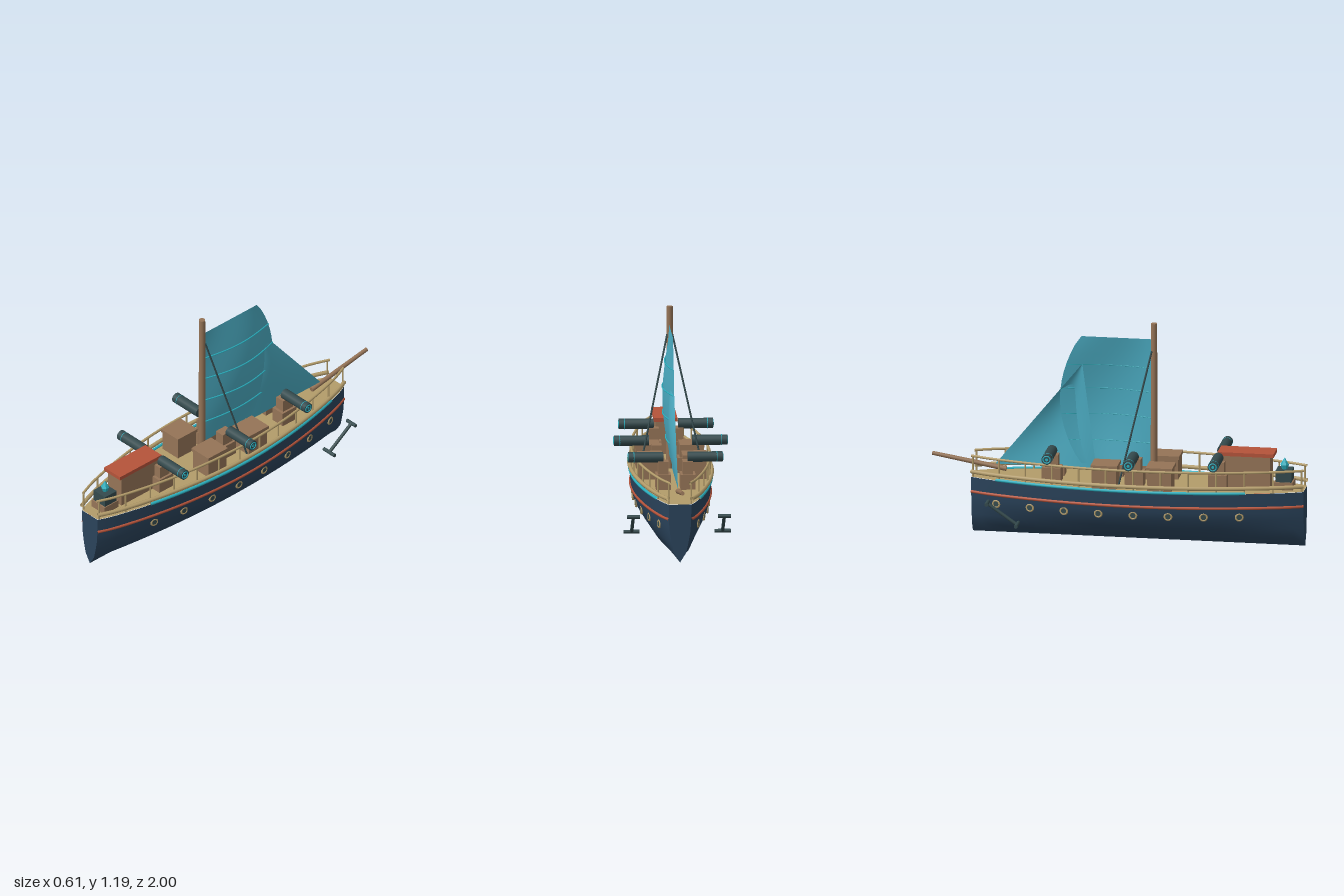
import * as THREE from 'three';
import { toCreasedNormals } from 'three/addons/utils/BufferGeometryUtils.js';

const mat = (name, color, side = THREE.FrontSide) => {
  const m = new THREE.MeshStandardMaterial({ color, side });
  m.name = name;
  return m;
};
const V = (x, y, z) => new THREE.Vector3(x, y, z);
const BOW = -0.78, STERN = 1.0, LEN = STERN - BOW, BEAM = 0.213;

// Half width of the hull at deck level
const halfWidth = z => {
  const s = Math.max(0, Math.sin(Math.PI * (z - BOW) / LEN));
  return 0.06 + (BEAM - 0.06) * Math.pow(s, 0.8);
};

// Half cross-section amidships, sheer to keel
const SECTION = [[0.213, 0.315], [0.21, 0.26], [0.204, 0.205], [0.192, 0.165], [0.157, 0.11], [0.117, 0.056], [0, 0.003]];

function hullGeometry() {
  const ring = [...SECTION, ...SECTION.slice(0, -1).reverse().map(([x, y]) => [-x, y])];
  const n = ring.length, stations = 32, pos = [], idx = [];
  for (let j = 0; j <= stations; j++) {
    const z = BOW + LEN * j / stations, s = halfWidth(z) / BEAM;
    for (const [x, y] of ring) pos.push(x * s, y, z);
  }
  for (let j = 0; j < stations; j++) for (let i = 0; i < n - 1; i++) {
    const a = j * n + i, b = a + 1, c = a + n, d = c + 1;
    idx.push(a, c, b, c, d, b);
  }
  const e = stations * n;
  for (let i = 1; i < n - 1; i++) idx.push(0, i, i + 1, e, e + i + 1, e + i);
  const g = new THREE.BufferGeometry();
  g.setAttribute('position', new THREE.Float32BufferAttribute(pos, 3));
  g.setIndex(idx);
  return toCreasedNormals(g, 0.7);
}

// Open surface from a rule (u, v) -> point
function sheet(rule, n = 14) {
  const g = new THREE.PlaneGeometry(1, 1, n, n), p = g.attributes.position, uv = g.attributes.uv;
  for (let i = 0; i < p.count; i++) p.setXYZ(i, ...rule(uv.getX(i), uv.getY(i)).toArray());
  g.computeVertexNormals();
  return g;
}

export function createModel() {
  const ship = new THREE.Group();
  ship.name = 'sailingShip';
  const navy = mat('navyHull', 0x2a435b), tan = mat('tanTimber', 0xb39c6a, THREE.DoubleSide);
  const brown = mat('brownWood', 0x957457), red = mat('redPaint', 0xb5533a);
  const slate = mat('darkIron', 0x344a4d), cyan = mat('cyanTrim', 0x2bb0c0);
  const cloth = mat('sailCloth', 0x4aa9bf, THREE.DoubleSide);

  const add = (name, geo, m, x = 0, y = 0, z = 0) => {
    const mesh = new THREE.Mesh(geo, m);
    mesh.name = name;
    mesh.position.set(x, y, z);
    ship.add(mesh);
    return mesh;
  };
  const box = (name, m, w, h, d, x, y, z) => add(name, new THREE.BoxGeometry(w, h, d), m, x, y, z);
  const rod = (name, m, a, b, r, r2 = r, sides = 12) => {
    const dir = b.clone().sub(a), mid = a.clone().add(b).multiplyScalar(0.5);
    const mesh = add(name, new THREE.CylinderGeometry(r2, r, dir.length(), sides), m, mid.x, mid.y, mid.z);
    mesh.quaternion.setFromUnitVectors(V(0, 1, 0), dir.normalize());
    return mesh;
  };
  // Tube following the side of the hull
  const sideTube = (name, m, side, y, r, xOf, z0 = BOW, z1 = STERN) => {
    const pts = [];
    for (let i = 0; i <= 20; i++) {
      const z = z0 + (z1 - z0) * i / 20;
      pts.push(V(side * xOf(z), y, z));
    }
    add(name, new THREE.TubeGeometry(new THREE.CatmullRomCurve3(pts), 48, r, 8), m);
  };

  // Hull and deck
  add('hull', hullGeometry(), navy);
  const outline = new THREE.Shape();
  const edge = [];
  for (let i = 0; i <= 32; i++) edge.push(BOW + LEN * i / 32);
  outline.setFromPoints([
    ...edge.map(z => new THREE.Vector2(halfWidth(z), -z)),
    ...edge.reverse().map(z => new THREE.Vector2(-halfWidth(z), -z)),
  ]);
  add('deck', new THREE.ShapeGeometry(outline), tan, 0, 0.317, 0).rotation.x = -Math.PI / 2;

  for (const s of [1, -1]) {
    // Trim and railings
    sideTube('redStripe', red, s, 0.235, 0.008, z => halfWidth(z) * 0.975);
    sideTube('cyanStrip', cyan, s, 0.318, 0.008, halfWidth, -0.64, 0.7);
    sideTube('lowerRail', tan, s, 0.346, 0.011, z => halfWidth(z) + 0.002);
    sideTube('upperRail', tan, s, 0.43, 0.007, z => halfWidth(z) - 0.008);
    for (let i = 0; i <= 12; i++) {
      const z = BOW + 0.01 + (LEN - 0.02) * i / 12, x = s * (halfWidth(z) - 0.006);
      rod('railPost', tan, V(x, 0.317, z), V(x, 0.43, z), 0.005, 0.005, 6);
    }

    // Portholes
    for (let i = 0; i < 8; i++) {
      const z = 0.67 - 0.187 * i, x = s * halfWidth(z) * 0.935;
      const slope = (halfWidth(z + 0.01) - halfWidth(z - 0.01)) / 0.02;
      const turn = Math.atan2(s, -slope);
      add('portholeRing', new THREE.TorusGeometry(0.018, 0.006, 6, 16), tan, x, 0.185, z).rotation.y = turn;
      const glass = add('portholeGlass', new THREE.CylinderGeometry(0.017, 0.017, 0.008, 16).rotateX(Math.PI / 2), slate, x, 0.185, z);
      glass.rotation.y = turn;
    }

    // Deck hatches with lids
    for (const z of [-0.05, 0.245]) {
      box('hatch', brown, 0.12, 0.11, 0.13, s * 0.118, 0.372, z);
      box('hatchLid', brown, 0.132, 0.018, 0.142, s * 0.118, 0.436, z);
    }

    // Cannons on their carriages
    for (const [z, muzzle, cx] of [[-0.345, 0.25, 0.065], [0.1, 0.3, 0.075], [0.545, 0.25, 0.065]]) {
      box('carriageBase', brown, 0.08, 0.08, 0.1, s * cx, 0.357, z);
      box('carriageTop', brown, 0.055, 0.07, 0.07, s * cx, 0.43, z);
      rod('cannonBarrel', slate, V(s * (muzzle - 0.185), 0.485, z), V(s * muzzle, 0.485, z), 0.028, 0.028, 16);
      for (const [x, r] of [[muzzle, 0.019], [muzzle - 0.03, 0.0255]])
        add('cannonRing', new THREE.TorusGeometry(r, 0.0035, 6, 18), cyan, s * x, 0.485, z).rotation.y = Math.PI / 2;
      rod('cannonCore', cyan, V(s * muzzle, 0.485, z), V(s * (muzzle + 0.002), 0.485, z), 0.008);
    }

    // Anchors
    rod('anchorStem', slate, V(s * 0.241, 0.228, -0.665), V(s * 0.241, 0.117, -0.505), 0.009);
    rod('anchorStock', slate, V(s * 0.207, 0.228, -0.665), V(s * 0.275, 0.228, -0.665), 0.01);
    rod('anchorArms', slate, V(s * 0.199, 0.117, -0.505), V(s * 0.284, 0.117, -0.505), 0.01);

    // Shrouds
    rod('shroud', slate, V(s * 0.014, 1.04, 0.18), V(s * 0.17, 0.33, 0.025), 0.005, 0.005, 8);
  }

  // Mast and bowsprit
  rod('mast', brown, V(0, 0.317, 0.19), V(0, 1.19, 0.19), 0.018, 0.017, 16);
  rod('bowsprit', brown, V(0, 0.352, -0.6), V(0, 0.42, -0.998), 0.014, 0.011);

  // Main sail with battens, and fore sail
  const main = (u, v) => {
    const bow = Math.sin(Math.PI * v);
    const leech = -0.2 - 0.115 * Math.pow(Math.max(0, bow), 0.8);
    return V(0.005 + 0.047 * Math.sin(Math.PI * u) * Math.max(0, bow), 0.4 + 0.7 * v, 0.178 + (leech - 0.178) * u);
  };
  add('mainSail', sheet(main), cloth);
  for (const v of [0.18, 0.38, 0.58, 0.77]) {
    const pts = [];
    for (let i = 0; i <= 8; i++) pts.push(main(i / 8, v).add(V(0.003, 0, 0)));
    add('sailBatten', new THREE.TubeGeometry(new THREE.CatmullRomCurve3(pts), 20, 0.004, 6), cyan);
  }
  add('foreSail', sheet((u, v) => {
    const foot = -0.12 - 0.54 * u;
    return V(0.004 + 0.03 * Math.sin(Math.PI * u) * Math.sin(Math.PI * v), 0.375 + 0.573 * v, foot + (-0.195 - foot) * v);
  }), cloth);

  // Cabin
  box('cabin', brown, 0.104, 0.18, 0.26, 0, 0.407, 0.69);
  box('cabinRoof', red, 0.124, 0.02, 0.3, 0, 0.505, 0.69);

  // Stern lantern
  box('lanternPlinth', brown, 0.1, 0.042, 0.1, 0, 0.338, 0.89);
  box('lanternBase', slate, 0.09, 0.062, 0.085, 0, 0.39, 0.89);
  add('lanternCrystal', new THREE.LatheGeometry([
    new THREE.Vector2(0.012, 0), new THREE.Vector2(0.023, 0.03), new THREE.Vector2(0, 0.07),
  ], 6).toNonIndexed(), cyan, 0, 0.415, 0.89).geometry.computeVertexNormals();

  return ship;
}
